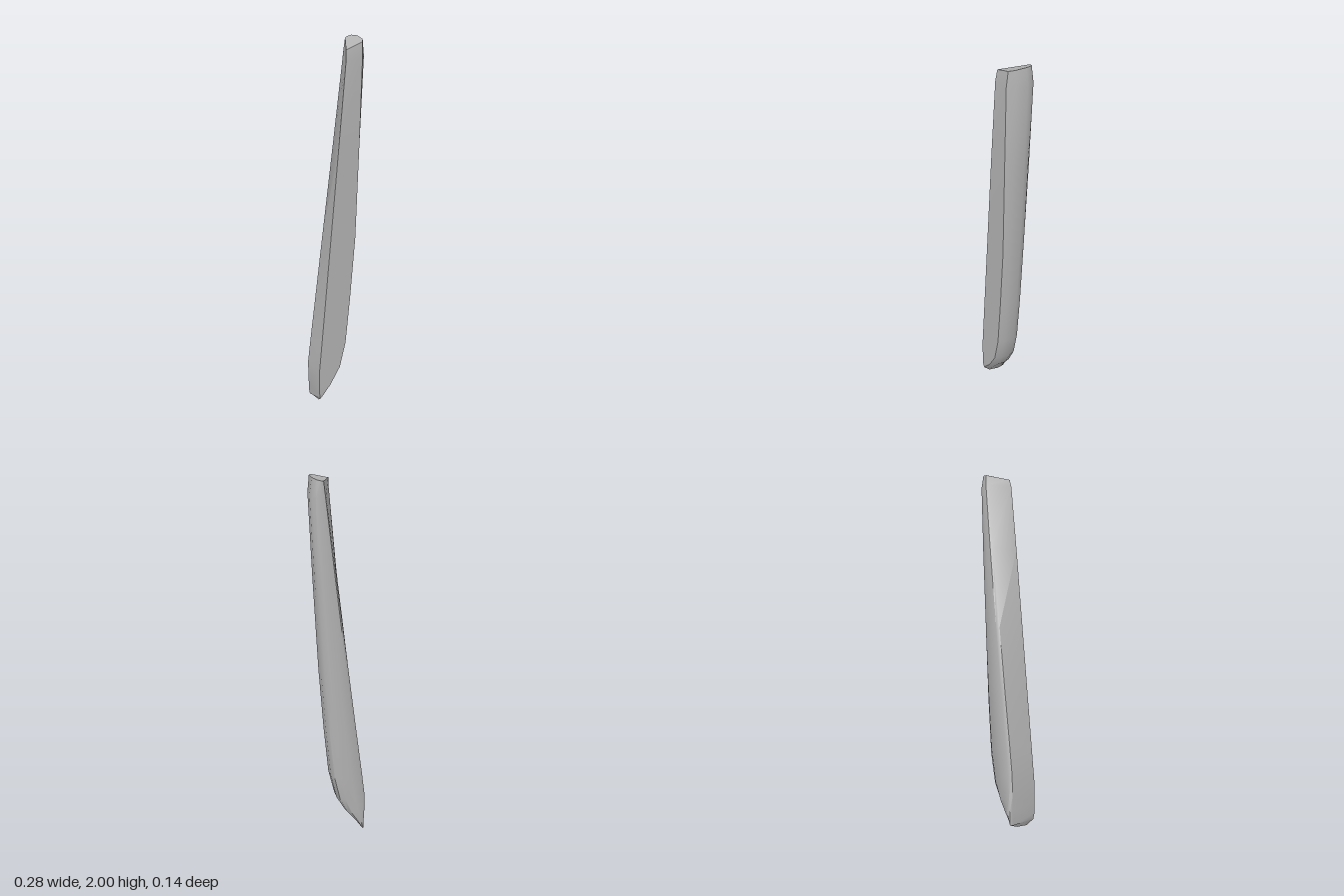
import * as THREE from 'three';
import { toCreasedNormals } from 'three/addons/utils/BufferGeometryUtils.js';

const lerp = (a, b, t) => a + (b - a) * t;

// Cross-section ring, counter-clockwise from above: front edge, rounded right side, back, left.
function section([y, xl, xc, xr, xb, zf, zb]) {
  return [
    [xl, y, zf], [xc, y, zf],
    [lerp(xc, xr, 0.75), y, 0.036], [xr, y, -0.018],
    [lerp(xb, xr, 0.93), y, zb + 0.021], [lerp(xb, xr, 0.76), y, zb + 0.004],
    [lerp(xb, xr, 0.4), y, zb - 0.003], [lerp(xb, xr, 0.1), y, zb + 0.001],
    [xb, y, zb + 0.012],
  ];
}

// Skin rings from bottom to top, closing both ends with fans.
function loft(rings) {
  const n = rings[0].length;
  const points = rings.flat();
  const index = [];
  for (let i = 0; i < rings.length - 1; i++) {
    for (let j = 0; j < n; j++) {
      const k = (j + 1) % n;
      const a = i * n + j, b = i * n + k;
      index.push(a, b, b + n, a, b + n, a + n);
    }
  }
  const top = (rings.length - 1) * n;
  for (let j = 1; j < n - 1; j++) {
    index.push(0, j + 1, j, top, top + j, top + j + 1);
  }
  const geometry = new THREE.BufferGeometry();
  geometry.setAttribute('position', new THREE.Float32BufferAttribute(points.flat(), 3));
  geometry.setIndex(index);
  return toCreasedNormals(geometry, 0.62);
}

export function createModel() {
  const group = new THREE.Group();
  group.name = 'slantedBlade';
  const grey = new THREE.MeshStandardMaterial({ color: 0xb4b4b4 });
  grey.name = 'grey';

  // y, front left x, front crease x, right x, back left x, front z, back z
  const rings = [
    [0.0, -0.137, -0.132, -0.126, -0.135, 0.066, -0.06],
    [0.06, -0.14, -0.115, -0.087, -0.138, 0.07, -0.066],
    [0.12, -0.142, -0.072, -0.042, -0.14, 0.07, -0.067],
    [0.22, -0.142, -0.013, 0.01, -0.14, 0.071, -0.068],
    [0.37, -0.128, 0.022, 0.043, -0.122, 0.071, -0.068],
    [0.65, -0.102, 0.048, 0.068, -0.086, 0.071, -0.068],
    [1.0, -0.07, 0.075, 0.092, -0.042, 0.071, -0.067],
    [1.5, -0.024, 0.091, 0.12, 0.021, 0.071, -0.065],
    [1.92, 0.015, 0.102, 0.14, 0.072, 0.069, -0.062],
    [1.97, 0.02, 0.105, 0.128, 0.08, 0.061, -0.056],
  ].map(section);

  // Lift the front of the tip and slope the top end
  rings[0].forEach((p) => { p[1] = p[2] > 0.05 ? 0.045 : p[2] > 0.02 ? 0.015 : 0; });
  rings[1].forEach((p) => { if (p[2] > 0.05) p[1] = 0.07; });
  rings[rings.length - 1].forEach((p) => { p[1] = 1.965 + p[0] * 0.28; });

  const blade = new THREE.Mesh(loft(rings), grey);
  blade.name = 'blade';
  group.add(blade);
  return group;
}
